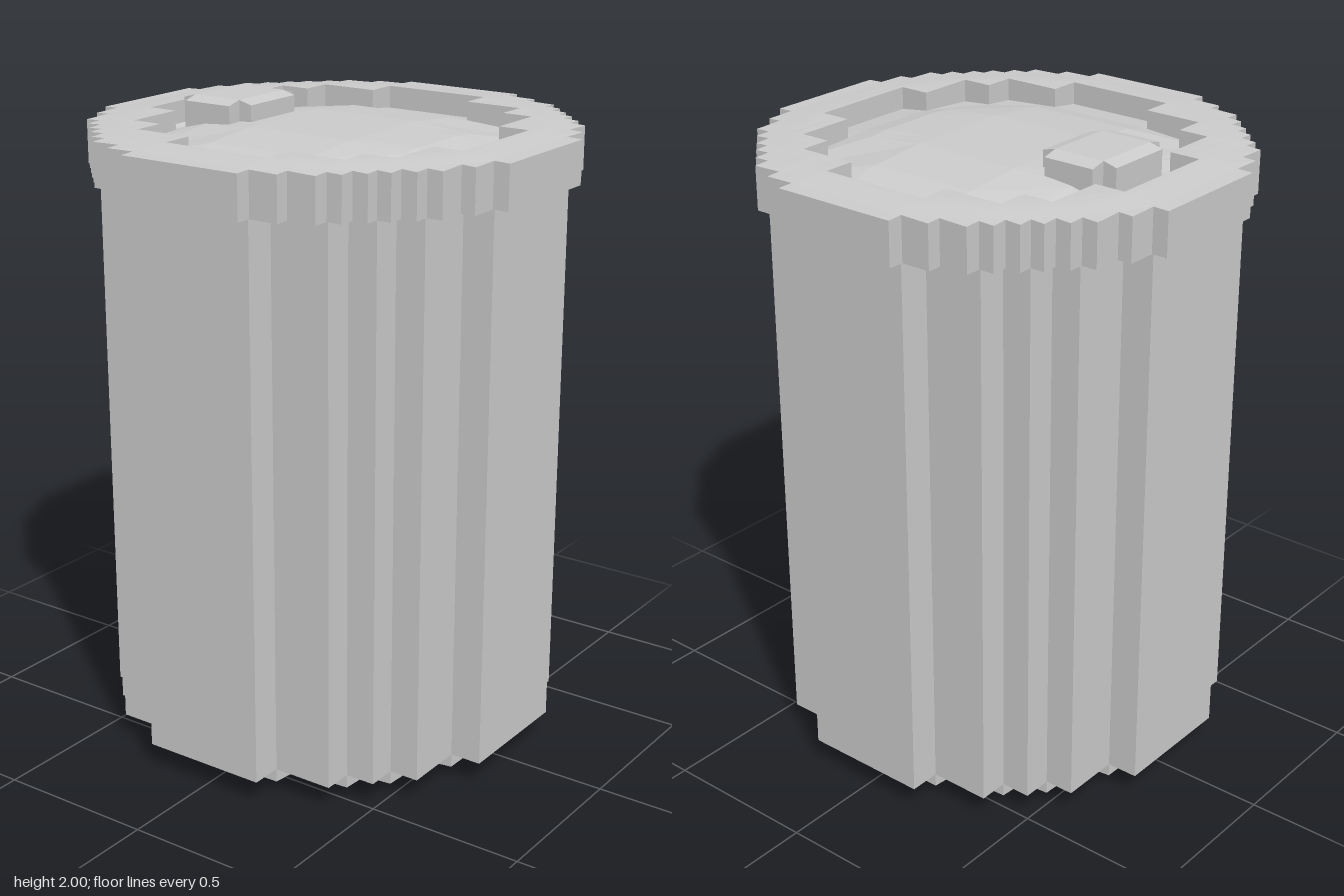
import * as THREE from 'three';

const grey = new THREE.MeshStandardMaterial({ color: 0xcccccc, flatShading: true });

// Inside a union of centred rectangles given as [halfX, halfZ]
const inside = (rects, x, z) => rects.some(([a, b]) => Math.abs(x) < a && Math.abs(z) < b);
const sortedLines = (values) => [...new Set(values)].sort((a, b) => a - b);

// Stepped prism whose top and bottom heights follow functions of x and z
function steppedPrism(name, rects, top, bottom, { hole = [], extraX = [], extraZ = [] } = {}) {
  const all = [...rects, ...hole];
  const xs = sortedLines([...all.flatMap(([a]) => [-a, a]), ...extraX]);
  const zs = sortedLines([...all.flatMap(([, b]) => [-b, b]), ...extraZ]);
  const solid = (i, j) => {
    if (i < 0 || j < 0 || i >= xs.length - 1 || j >= zs.length - 1) return false;
    const x = (xs[i] + xs[i + 1]) / 2, z = (zs[j] + zs[j + 1]) / 2;
    return inside(rects, x, z) && !inside(hole, x, z);
  };
  const pos = [];
  const quad = (a, b, c, d) => pos.push(...a, ...b, ...c, ...a, ...c, ...d);
  const up = ([x, z]) => [x, top(x, z), z];
  const down = ([x, z]) => [x, bottom(x, z), z];
  const wall = (p, q) => quad(down(p), down(q), up(q), up(p));

  for (let i = 0; i < xs.length - 1; i++) {
    for (let j = 0; j < zs.length - 1; j++) {
      if (!solid(i, j)) continue;
      const a = [xs[i], zs[j]], b = [xs[i], zs[j + 1]];
      const c = [xs[i + 1], zs[j + 1]], d = [xs[i + 1], zs[j]];
      quad(up(a), up(b), up(c), up(d));
      quad(down(a), down(d), down(c), down(b));
      if (!solid(i - 1, j)) wall(a, b);
      if (!solid(i, j + 1)) wall(b, c);
      if (!solid(i + 1, j)) wall(c, d);
      if (!solid(i, j - 1)) wall(d, a);
    }
  }
  const geometry = new THREE.BufferGeometry();
  geometry.setAttribute('position', new THREE.Float32BufferAttribute(pos, 3));
  geometry.computeVertexNormals();
  const mesh = new THREE.Mesh(geometry, grey);
  mesh.name = name;
  return mesh;
}

// Mirror a list of steps across the diagonal
const diagonal = (steps) => [...steps, ...steps.map(([a, b]) => [b, a])];

export function createModel() {
  const group = new THREE.Group();
  group.name = 'bin';
  const level = (y) => () => y;

  const bodySteps = diagonal([[0.69, 0.205], [0.59, 0.4], [0.495, 0.495]]);
  const baseSteps = diagonal([[0.59, 0.205], [0.495, 0.4]]);
  const rimSteps = diagonal([[0.735, 0.205], [0.685, 0.3], [0.64, 0.395], [0.59, 0.445], [0.54, 0.495]]);
  const lidSteps = diagonal([[0.57, 0.18], [0.47, 0.37]]);

  // Straight stepped wall
  group.add(steppedPrism('body', bodySteps, level(1.815), level(0.08)));

  // Inset base with a slightly bulging underside
  const baseY = (x, z) => 0.037 * Math.min(1, Math.hypot(x, z) ** 2 / 0.39);
  group.add(steppedPrism('base', baseSteps, level(0.09), baseY, { extraX: [0], extraZ: [0] }));

  // Overhanging rim, dropping slightly towards its outer edge
  const rimY = (x, z) => 1.957 - 0.012 * THREE.MathUtils.smoothstep(Math.hypot(x, z), 0.58, 0.76);
  group.add(steppedPrism('rim', rimSteps, rimY, level(1.81), { hole: lidSteps }));

  // Recessed, gently domed lid with a finger pocket behind the handle
  const lidY = (x, z) => {
    if (Math.abs(x) < 0.12 && z < -0.44 && z > -0.54) return 1.85;
    return 1.94 - 0.055 * THREE.MathUtils.smoothstep(Math.hypot(x, z), 0.3, 0.6);
  };
  group.add(steppedPrism('lid', lidSteps, lidY, level(1.812), {
    extraX: [-0.15, -0.11, 0.11, 0.15], extraZ: [-0.53, -0.45, -0.4],
  }));

  // Raised handle with softened ends
  const handleY = (x, z) => (Math.abs(x) > 0.12 || Math.abs(z) > 0.1 ? 1.988 : 2);
  const handle = steppedPrism('handle', [[0.16, 0.085], [0.11, 0.13]], handleY, level(1.84));
  handle.position.z = -0.36;
  group.add(handle);

  return group;
}
